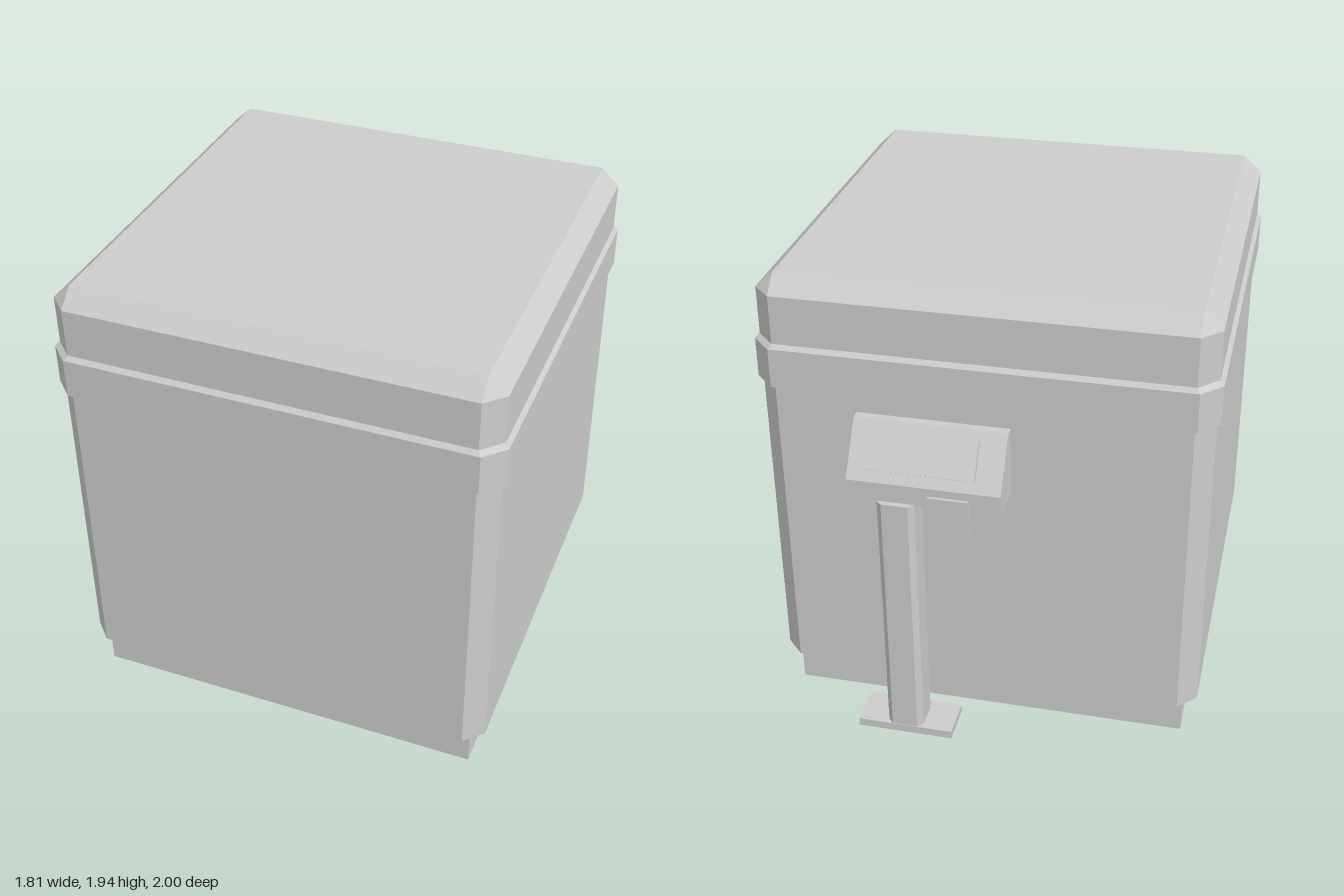
import * as THREE from 'three';

const grey = new THREE.MeshStandardMaterial({ color: 0xcccccc, flatShading: true, side: THREE.DoubleSide });
grey.name = 'plain grey';

// Eight-point rectangle with corners cut by c, at height y
function loop([hx, hz, c, y]) {
  return [[hx, hz - c], [hx - c, hz], [c - hx, hz], [-hx, hz - c],
    [-hx, c - hz], [c - hx, -hz], [hx - c, -hz], [hx, c - hz]].map(([x, z]) => [x, y, z]);
}

// Skin a stack of [halfX, halfZ, cornerCut, y] sections, open below
function loft(sections, capped = false) {
  const loops = sections.map(loop);
  const pos = [];
  for (let k = 0; k < loops.length - 1; k++) {
    for (let i = 0; i < 8; i++) {
      const j = (i + 1) % 8;
      const a = loops[k][i], b = loops[k][j], A = loops[k + 1][i], B = loops[k + 1][j];
      pos.push(...a, ...A, ...b, ...b, ...A, ...B);
    }
  }
  if (capped) {
    const top = loops[loops.length - 1];
    for (let i = 1; i < 7; i++) pos.push(...top[0], ...top[i + 1], ...top[i]);
  }
  const g = new THREE.BufferGeometry();
  g.setAttribute('position', new THREE.Float32BufferAttribute(pos, 3));
  g.computeVertexNormals();
  return g;
}

const square = (h, c, y) => [h, h, c, y];

function part(parent, name, geometry, x = 0, y = 0, z = 0) {
  const m = new THREE.Mesh(geometry, grey);
  m.name = name;
  m.position.set(x, y, z);
  parent.add(m);
  return m;
}

export function createModel() {
  const model = new THREE.Group();
  model.name = 'bin';

  // Hollow container, centred a little forward of the stand
  const box = new THREE.Group();
  box.name = 'container';
  box.position.z = 0.093;
  model.add(box);
  part(box, 'baseSkirt', loft([square(0.83, 0, 0), square(0.83, 0, 0.17)]));
  part(box, 'body', loft([square(0.83, 0, 0.17), square(0.89, 0.075, 0.17), square(0.89, 0.075, 1.49)]));
  part(box, 'rimBand', loft([square(0.89, 0.075, 1.49), square(0.907, 0.08, 1.49),
    square(0.907, 0.08, 1.653), square(0.89, 0.075, 1.67)]));
  part(box, 'lid', loft([square(0.89, 0.075, 1.67), square(0.89, 0.075, 1.87), square(0.815, 0, 1.94)], true));

  // Ring and cross inlaid on the lid
  const ring = new THREE.RingGeometry(0.39, 0.48, 20).rotateX(-Math.PI / 2);
  part(box, 'lidRing', ring, 0, 1.942, 0);
  const l = 0.31, w = 0.05;
  const cross = new THREE.Shape([[w, w], [w, l], [-w, l], [-w, w], [-l, w], [-l, -w],
    [-w, -w], [-w, -l], [w, -l], [w, -w], [l, -w], [l, w]].map(p => new THREE.Vector2(...p)));
  part(box, 'lidCross', new THREE.ShapeGeometry(cross).rotateX(-Math.PI / 2), 0, 1.942, 0);

  // Control stand behind the container
  const stand = new THREE.Group();
  stand.name = 'controlStand';
  model.add(stand);
  part(stand, 'standFoot', loft([[0.2, 0.088, 0, 0], [0.2, 0.088, 0, 0.035]], true), 0.295, 0, -0.91);
  part(stand, 'standPost', loft([square(0.075, 0.022, 0.035), square(0.075, 0.022, 1.13)], true), 0.295, 0, -0.92);

  // Console with a sloping face
  const profile = new THREE.Shape([[0.797, 1.125], [0.972, 1.125], [0.972, 1.21], [0.835, 1.41], [0.797, 1.41]]
    .map(p => new THREE.Vector2(...p)));
  const consoleGeo = new THREE.ExtrudeGeometry(profile, { depth: 0.61, bevelEnabled: false }).rotateY(Math.PI / 2);
  part(stand, 'console', consoleGeo, -0.12, 0, 0);
  const screen = part(stand, 'screen', new THREE.BoxGeometry(0.455, 0.155, 0.03), 0.2125, 1.314, -0.906);
  screen.rotation.x = Math.atan2(-0.137, -0.2);

  // Small plate hanging beside the post
  part(stand, 'hangingPlate', new THREE.BoxGeometry(0.165, 0.18, 0.012), 0.085, 1.09, -0.984);

  return model;
}
